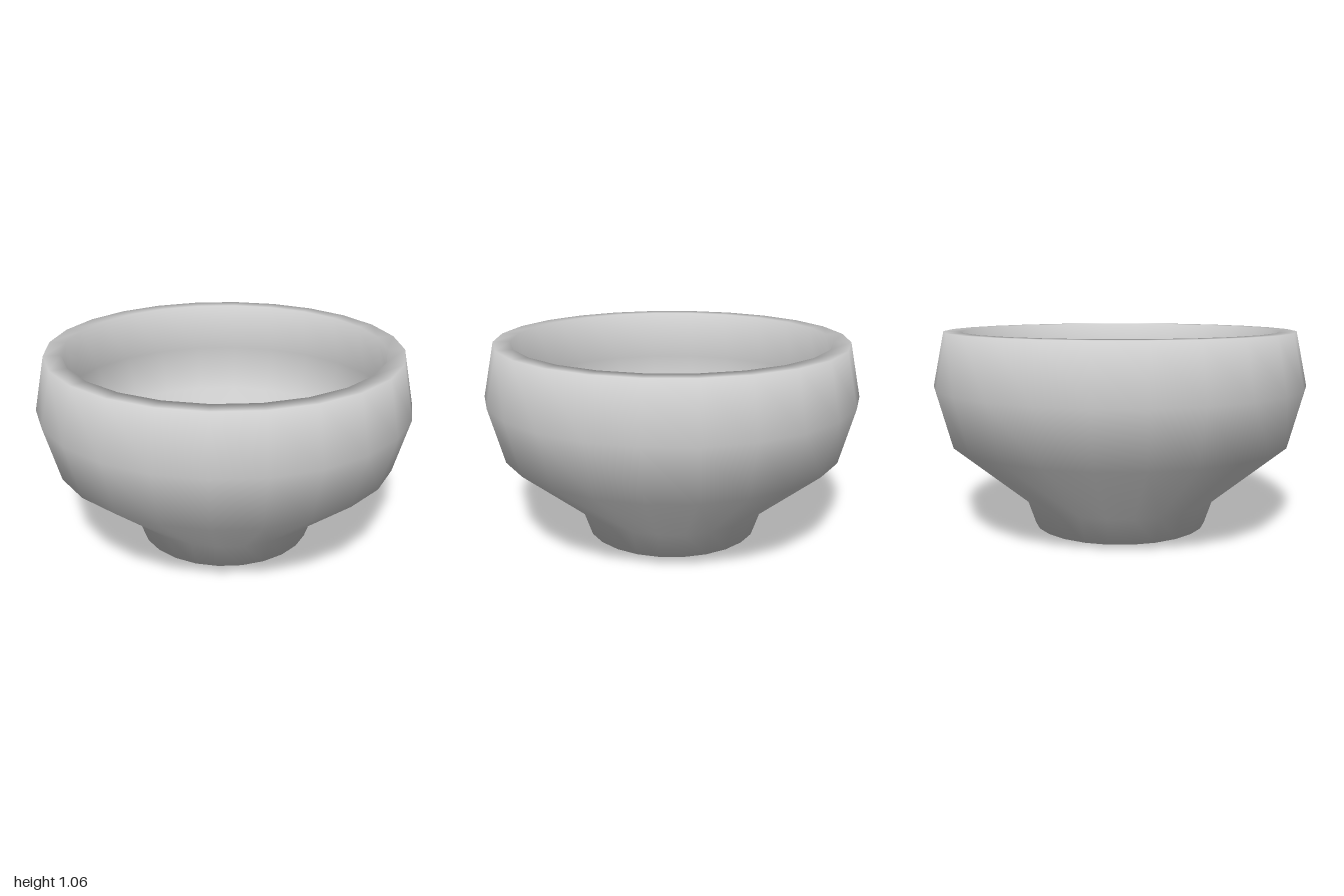
import * as THREE from 'three';

// Lathe whose vertex normals average both neighbouring segments equally
function smoothLathe(profile, sides) {
  const geometry = new THREE.LatheGeometry(profile, sides);
  const last = profile.length - 1;
  const segmentNormals = profile.slice(1).map((p, j) => {
    const d = p.clone().sub(profile[j]).normalize();
    return new THREE.Vector2(d.y, -d.x);
  });
  const pointNormals = profile.map((p, j) =>
    segmentNormals[Math.max(j - 1, 0)].clone()
      .add(segmentNormals[Math.min(j, last - 1)]).normalize());
  for (let i = 0; i <= sides; i++) {
    const angle = (i / sides) * Math.PI * 2;
    pointNormals.forEach((n, j) => geometry.attributes.normal.setXYZ(
      i * profile.length + j, n.x * Math.sin(angle), n.y, n.x * Math.cos(angle)));
  }
  return geometry;
}

export function createModel() {
  const model = new THREE.Group();
  model.name = 'bowl';

  const glaze = new THREE.MeshStandardMaterial({ color: 0xcccccc });
  glaze.name = 'light grey';

  // Profile from the underside centre, up the outside, over the rim, down the inside
  const profile = [
    [0, 0], [0.47, 0], [0.52, 0.145],              // foot
    [0.92, 0.475], [1, 0.77], [0.94, 1.06],        // outer wall
    [0.85, 1.06],                                  // rim
    [0.91, 0.77], [0.84, 0.52], [0.59, 0.32], [0, 0.32], // inner wall and floor
  ].map(([r, y]) => new THREE.Vector2(r, y));

  // One smooth shell of revolution with 24 sides
  const bowl = new THREE.Mesh(smoothLathe(profile, 24), glaze);
  bowl.name = 'bowlShell';
  model.add(bowl);

  return model;
}
